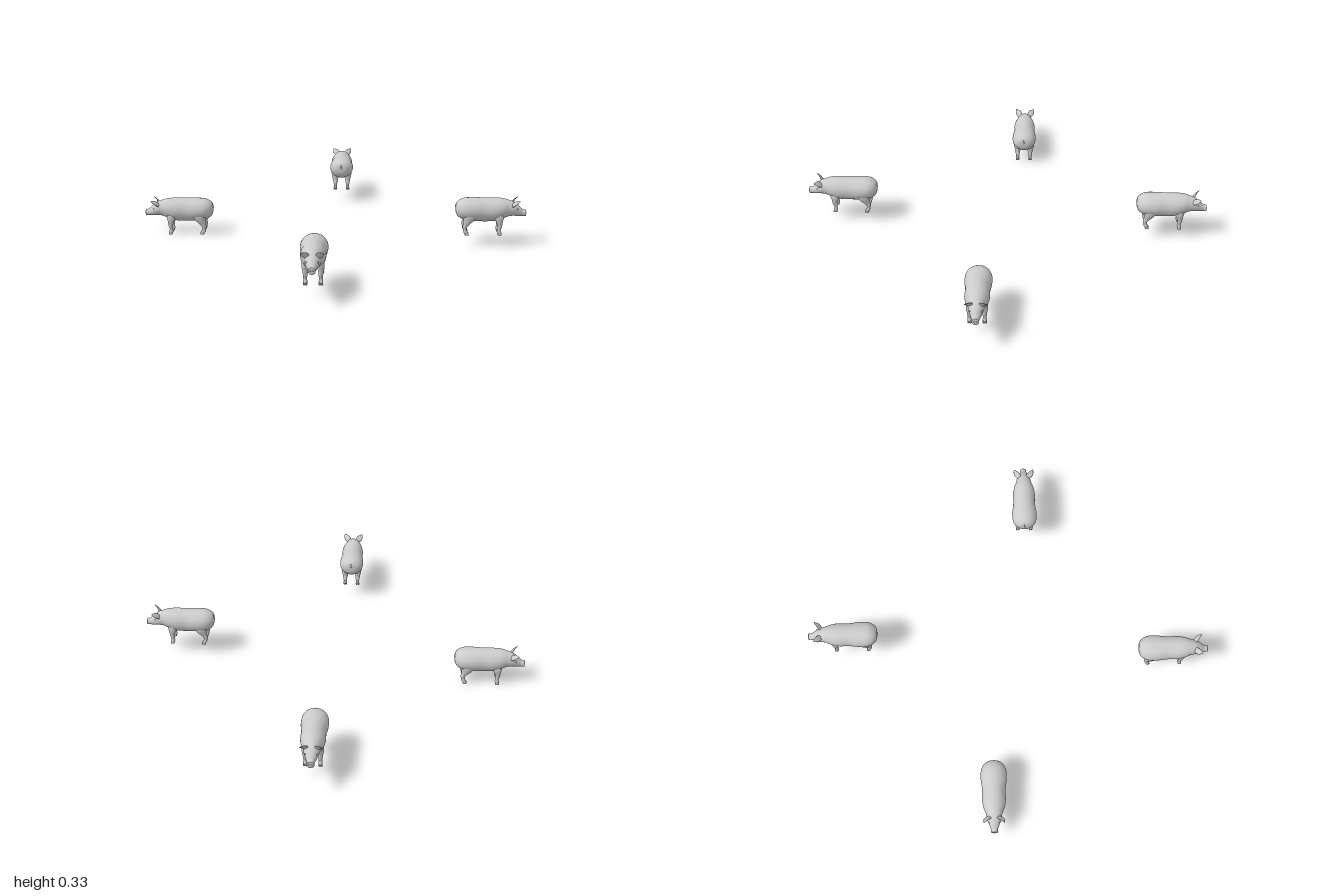
import * as THREE from 'three';

const material = new THREE.MeshStandardMaterial({ color: 0xcccccc });

function mesh(name, geometry, parent) {
  const m = new THREE.Mesh(geometry, material);
  m.name = name;
  parent.add(m);
  return m;
}

// Smooth skin through elliptical rings; each row is [z, centreY, radiusX, radiusY], z rising
function loft(rows, rings, sides) {
  const centres = new THREE.CatmullRomCurve3(rows.map(r => new THREE.Vector3(0, r[1], r[0])), false, 'catmullrom', 0.5);
  const radii = new THREE.CatmullRomCurve3(rows.map(r => new THREE.Vector3(r[2], r[3], 0)), false, 'catmullrom', 0.5);
  const pos = [], index = [];
  for (let i = 0; i <= rings; i++) {
    const c = centres.getPoint(i / rings), r = radii.getPoint(i / rings);
    for (let j = 0; j < sides; j++) {
      const a = (j / sides) * Math.PI * 2;
      pos.push(Math.max(r.x, 0) * Math.cos(a), c.y + Math.max(r.y, 0) * Math.sin(a), c.z);
      if (i === rings) continue;
      const p = i * sides + j, q = i * sides + (j + 1) % sides;
      index.push(p, q, p + sides, q, q + sides, p + sides);
    }
  }
  const g = new THREE.BufferGeometry();
  g.setAttribute('position', new THREE.Float32BufferAttribute(pos, 3));
  g.setIndex(index);
  g.computeVertexNormals();
  return g;
}

// Upright version; rows are [height, centreZ, radiusX, radiusZ] from top to bottom
const uprightLoft = (rows, rings, sides) =>
  loft(rows.map(([h, ...rest]) => [-h, ...rest]), rings, sides).rotateX(Math.PI / 2);

// Rump, barrel, neck, head and snout in one skin
const bodyGeometry = loft([
  [-0.09, 0.172, 0, 0], [-0.085, 0.172, 0.038, 0.034], [-0.066, 0.17, 0.064, 0.057],
  [-0.03, 0.169, 0.082, 0.073], [0.03, 0.167, 0.085, 0.078], [0.1, 0.165, 0.076, 0.08],
  [0.17, 0.167, 0.077, 0.078], [0.22, 0.173, 0.068, 0.069], [0.26, 0.176, 0.053, 0.056],
  [0.295, 0.171, 0.046, 0.047], [0.327, 0.158, 0.034, 0.037], [0.35, 0.147, 0.024, 0.026],
  [0.367, 0.143, 0.021, 0.022], [0.377, 0.143, 0.021, 0.021], [0.378, 0.143, 0, 0],
], 70, 36);

const hindLegGeometry = uprightLoft([
  [0.18, 0.028, 0, 0], [0.16, 0.028, 0.026, 0.04], [0.13, 0.022, 0.03, 0.046],
  [0.1, 0.014, 0.025, 0.036], [0.075, 0.001, 0.018, 0.022], [0.055, -0.01, 0.014, 0.016],
  [0.035, -0.009, 0.011, 0.012], [0.02, -0.004, 0.013, 0.014], [0.01, 0, 0.011, 0.012], [0.008, 0, 0, 0],
], 40, 18);

const foreLegGeometry = uprightLoft([
  [0.165, -0.008, 0, 0], [0.145, -0.008, 0.018, 0.03], [0.12, -0.005, 0.021, 0.033],
  [0.1, -0.002, 0.02, 0.025], [0.075, 0.002, 0.015, 0.018], [0.055, 0.002, 0.013, 0.014],
  [0.035, -0.001, 0.011, 0.011], [0.02, 0, 0.013, 0.014], [0.01, 0.003, 0.011, 0.012], [0.008, 0.003, 0, 0],
], 40, 18);

// Leaf-shaped ear, slightly cupped
const earGeometry = uprightLoft([
  [0.072, 0.004, 0, 0], [0.062, 0.002, 0.008, 0.003], [0.04, -0.003, 0.02, 0.004],
  [0.018, -0.002, 0.021, 0.007], [0, 0, 0.014, 0.01], [-0.006, 0, 0, 0],
], 24, 14);

const toeGeometry = new THREE.CylinderGeometry(0.006, 0.0085, 0.018, 12).scale(0.85, 1, 1.6).translate(0, 0.009, 0);
const eyeGeometry = new THREE.SphereGeometry(0.006, 14, 10);
const nostrilGeometry = new THREE.SphereGeometry(0.0045, 10, 8).scale(0.8, 1.2, 0.5);

const tailGeometry = new THREE.TubeGeometry(new THREE.CatmullRomCurve3([
  new THREE.Vector3(0, 0.213, -0.068), new THREE.Vector3(0.001, 0.208, -0.081),
  new THREE.Vector3(0.004, 0.197, -0.087), new THREE.Vector3(0, 0.187, -0.089),
  new THREE.Vector3(-0.002, 0.18, -0.089),
]), 24, 0.0035, 8);

function addLeg(name, geometry, x, z, parent) {
  const leg = new THREE.Group();
  leg.name = name;
  leg.position.set(x, 0, z);
  mesh('limb', geometry, leg);
  for (const s of [-1, 1]) mesh('toe', toeGeometry, leg).position.set(s * 0.0065, 0, 0.004);
  parent.add(leg);
}

// One pig facing +z, with its origin on the ground beneath the hips
function createPig() {
  const pig = new THREE.Group();
  pig.name = 'pig';
  mesh('body', bodyGeometry, pig);
  mesh('tail', tailGeometry, pig);
  for (const s of [-1, 1]) {
    const side = s > 0 ? 'left' : 'right';
    addLeg(side + 'HindLeg', hindLegGeometry, s * 0.046, -0.018, pig);
    addLeg(side + 'ForeLeg', foreLegGeometry, s * 0.046, 0.2, pig);
    const ear = mesh(side + 'Ear', earGeometry, pig);
    ear.position.set(s * 0.028, 0.198, 0.285);
    ear.quaternion.setFromUnitVectors(new THREE.Vector3(0, 1, 0), new THREE.Vector3(s * 0.04, 0.04, 0.042).normalize());
    mesh(side + 'Eye', eyeGeometry, pig).position.set(s * 0.033, 0.175, 0.317);
    mesh(side + 'Nostril', nostrilGeometry, pig).position.set(s * 0.008, 0.144, 0.378);
  }
  return pig;
}

export function createModel() {
  const model = new THREE.Group();
  model.name = 'pigs';
  // Hip position x, y, z and heading x, z; all look outward, one stands lower
  const places = [
    [0.7, 0.085, 0.667, 0.768, 0.64],
    [0.7, 0.085, -0.632, 0.64, -0.768],
    [-0.7, 0.085, -0.675, -0.768, -0.64],
    [-0.656, 0, 0.614, -0.64, 0.768],
  ];
  for (const [x, y, z, dx, dz] of places) {
    const pig = createPig();
    pig.position.set(x, y, z);
    pig.rotation.y = Math.atan2(dx, dz);
    model.add(pig);
  }
  return model;
}
